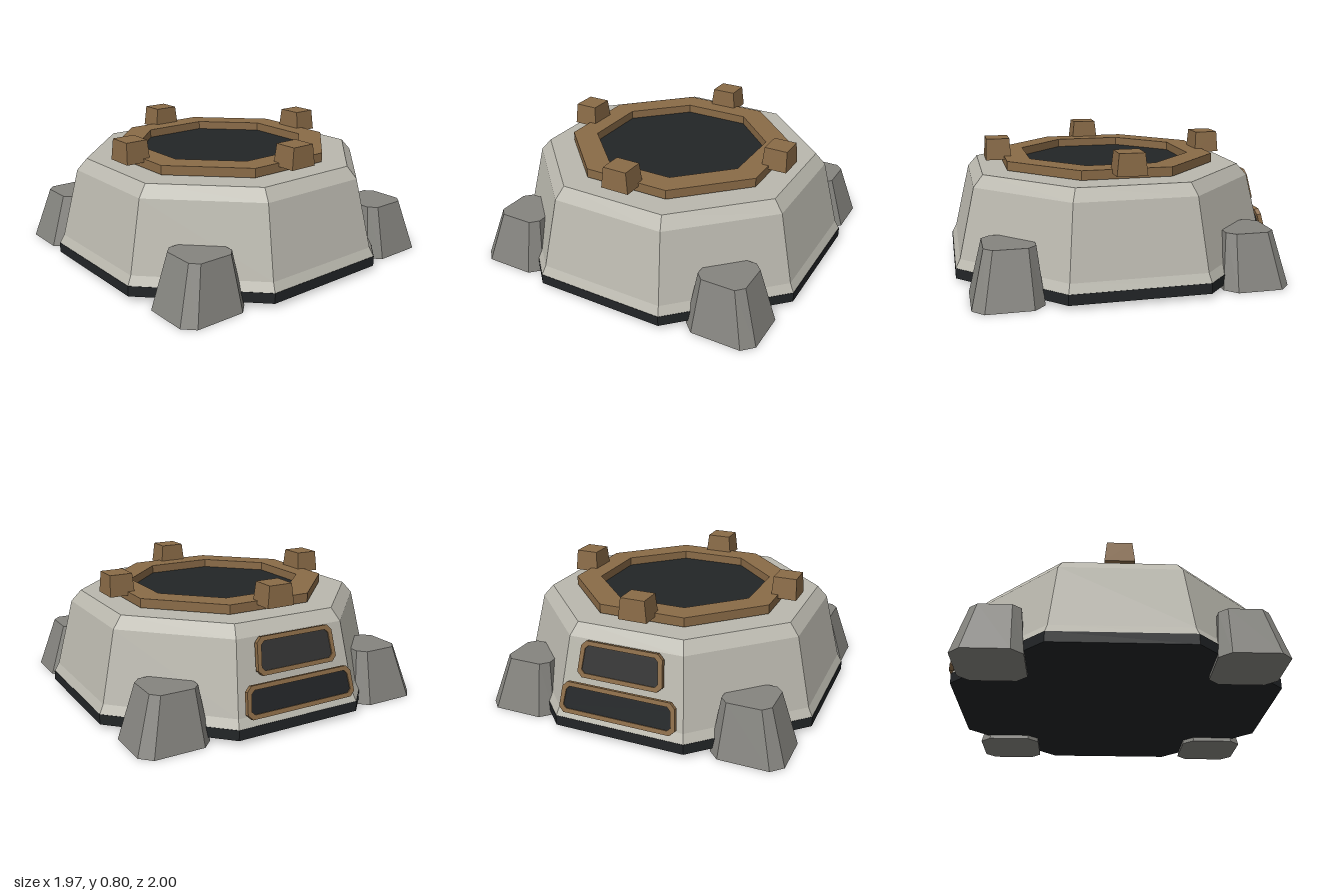
import * as THREE from 'three';

const mat = (color, extra = {}) => new THREE.MeshStandardMaterial({ color, flatShading: true, ...extra });
const shell = mat(0xbab8ae), bronze = mat(0x8a6b47), dark = mat(0x222527);
const stone = mat(0x85847f), slate = mat(0x333333);

function add(parent, name, geometry, material) {
  const mesh = new THREE.Mesh(geometry, material);
  mesh.name = name;
  parent.add(mesh);
  return mesh;
}

// Eight-sided turned form; profile is [apothem, y] pairs running upward on the outside
function octagon(profile) {
  const k = 1 / Math.cos(Math.PI / 8);
  const points = profile.map(([a, y]) => new THREE.Vector2(a * k, y));
  return new THREE.LatheGeometry(points, 8, Math.PI / 8);
}

// Rectangle with cut corners; the top edge may be narrower than the bottom
function cutRect(w, h, c, narrow = 0, Type = THREE.Shape) {
  const x = w / 2, t = x - narrow, y = h / 2;
  return new Type([
    [x - c, -y], [x, c - y], [t, y - c], [t - c, y],
    [c - t, y], [-t, y - c], [-x, c - y], [c - x, -y],
  ].map(([a, b]) => new THREE.Vector2(a, b)));
}

// Box tapering toward its top, with an optional sideways lean of the top
function taper(geometry, height, sx, sz, dx = 0, dz = 0) {
  const p = geometry.attributes.position;
  for (let i = 0; i < p.count; i++) {
    const t = p.getY(i) / height;
    p.setX(i, p.getX(i) * (1 + (sx - 1) * t) + dx * t);
    p.setZ(i, p.getZ(i) * (1 + (sz - 1) * t) + dz * t);
  }
  geometry.computeVertexNormals();
  return geometry;
}

// Framed panel leaning against the back wall
function backPanel(name, w, h, y, z, insetMaterial) {
  const group = new THREE.Group();
  group.name = name;
  const depth = 0.027, rim = 0.026;
  const outline = cutRect(w, h, 0.03, 0.012);
  outline.holes.push(cutRect(w - 2 * rim, h - 2 * rim, 0.02, 0.012, THREE.Path));
  const frame = new THREE.ExtrudeGeometry(outline, { depth, bevelEnabled: false });
  add(group, 'panelFrame', frame.translate(0, 0, -depth / 2), bronze);
  const inset = new THREE.ExtrudeGeometry(cutRect(w - 2 * rim, h - 2 * rim, 0.02, 0.012),
    { depth: depth * 0.75, bevelEnabled: false });
  add(group, 'panelInset', inset.translate(0, 0, -depth / 2), insetMaterial);
  group.rotation.set(0.245, Math.PI, 0);
  group.position.set(0, y, z);
  return group;
}

export function createModel() {
  const model = new THREE.Group();
  model.name = 'octagonalPlatform';

  // Everything but the back panels is centred slightly forward
  const main = new THREE.Group();
  main.name = 'platform';
  main.position.z = 0.014;
  model.add(main);

  // Dark skirt, sloped hull and flat deck
  add(main, 'baseSkirt', octagon([[0, 0.026], [0.984, 0.026], [0.984, 0.088], [0, 0.088]]), dark);
  add(main, 'hull', octagon([[0.982, 0.088], [0.955, 0.14], [0.858, 0.56], [0.8, 0.63], [0, 0.63]]), shell);

  // Raised ring around the hatch
  add(main, 'hatchRing', octagon([[0.505, 0.636], [0.65, 0.636], [0.65, 0.692],
    [0.505, 0.692], [0.505, 0.636]]), bronze);
  add(main, 'hatchFloor', octagon([[0.507, 0.64], [0, 0.64]]), dark);

  // Four tapered blocks around the ring
  for (let i = 0; i < 4; i++) {
    const block = new THREE.BoxGeometry(0.18, 0.13, 0.158).translate(0, 0.065, 0);
    const mesh = add(main, 'ringBlock', taper(block, 0.13, 0.84, 0.9), bronze);
    const a = i * Math.PI / 2;
    mesh.rotation.y = a;
    mesh.position.set(Math.sin(a) * 0.685, 0.67, Math.cos(a) * 0.685);
  }

  // Four chamfered feet on the diagonals, leaning inward
  for (const sx of [-1, 1]) {
    for (const sz of [-1, 1]) {
      const foot = new THREE.ExtrudeGeometry(cutRect(0.435, 0.4, 0.066),
        { depth: 0.32, bevelEnabled: false }).rotateX(-Math.PI / 2);
      const mesh = add(main, 'foot', taper(foot, 0.32, 0.67, 0.72, -0.031 * sx, -0.022 * sz), stone);
      mesh.position.set(0.731 * sx, 0, 0.717 * sz);
    }
  }

  // Two panels on the back wall
  model.add(backPanel('upperBackPanel', 0.53, 0.215, 0.461, -0.9, slate));
  model.add(backPanel('lowerBackPanel', 0.73, 0.185, 0.23, -0.963, dark));
  return model;
}
